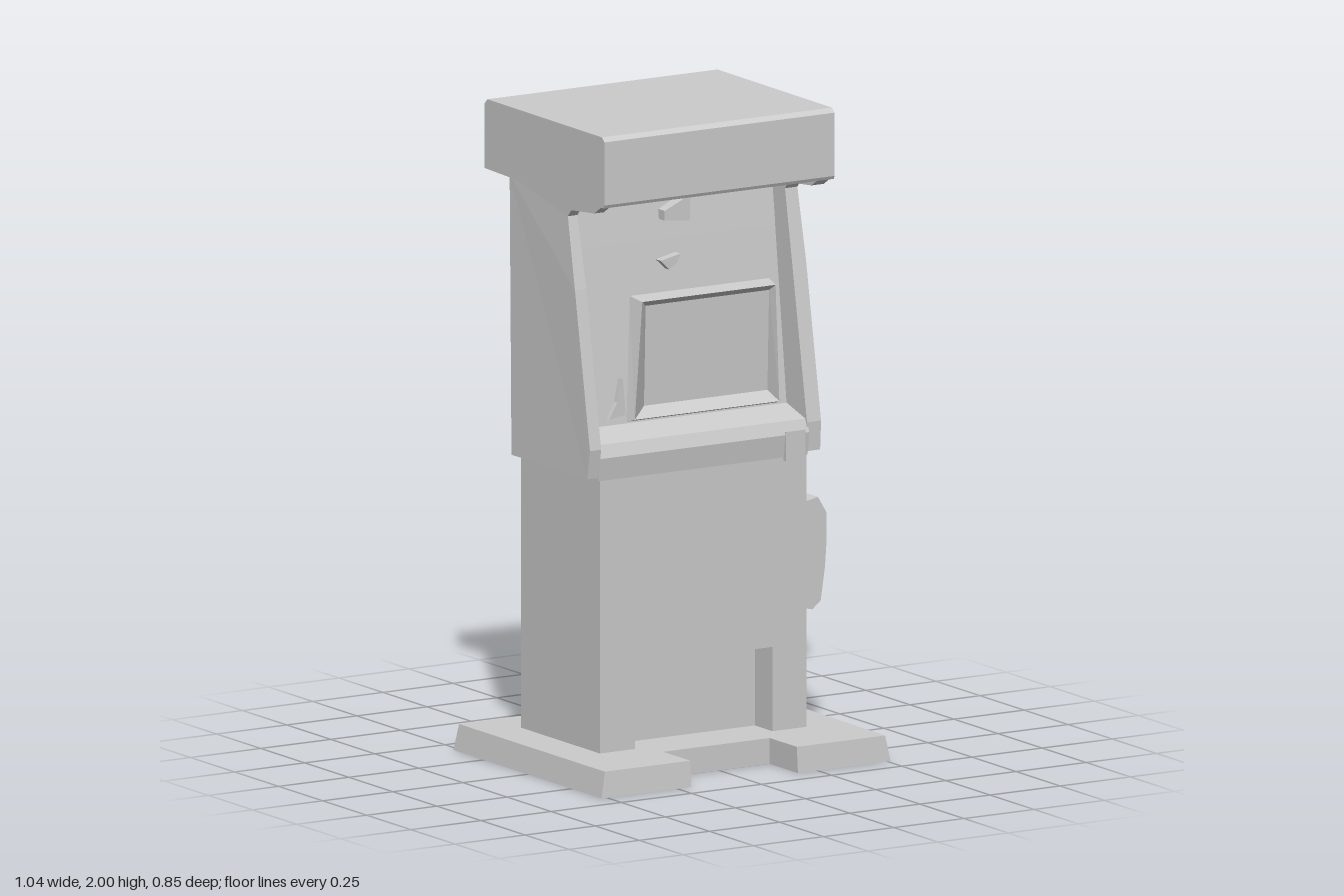
import * as THREE from 'three';

const mat = new THREE.MeshStandardMaterial({ color: 0xcccccc, flatShading: true, side: THREE.DoubleSide });

const shapeOf = pts => new THREE.Shape(pts.map(p => new THREE.Vector2(p[0], p[1])));
const extrude = (shape, depth, steps = 1) =>
  new THREE.ExtrudeGeometry(shape, { depth, steps, bevelEnabled: false });

// Side profile given as [z, y], extruded from x0 to x1
function extrudeX(pts, x0, x1, steps) {
  return extrude(shapeOf(pts), x1 - x0, steps).rotateY(-Math.PI / 2).translate(x1, 0, 0);
}

// Moves every vertex by a rule
function warp(geo, rule) {
  const p = geo.attributes.position, v = new THREE.Vector3();
  for (let i = 0; i < p.count; i++) {
    rule(v.fromBufferAttribute(p, i));
    p.setXYZ(i, v.x, v.y, v.z);
  }
  geo.computeVertexNormals();
  return geo;
}

// Band of quads joining closed loops of equal length
function loft(...loops) {
  const n = loops[0].length, idx = [];
  for (let k = 0; k < loops.length - 1; k++) {
    for (let i = 0; i < n; i++) {
      const a = k * n + i, b = k * n + (i + 1) % n;
      idx.push(a, b, b + n, a, b + n, a + n);
    }
  }
  const geo = new THREE.BufferGeometry();
  geo.setAttribute('position', new THREE.Float32BufferAttribute(loops.flat(2), 3));
  geo.setIndex(idx);
  geo.computeVertexNormals();
  return geo;
}

// The back is upright on the right flank and leans out to the hood on the left
function twistBack(v) {
  if (v.y > 1.7 && v.z < -0.3) {
    v.z = THREE.MathUtils.mapLinear(THREE.MathUtils.clamp(v.x, -0.38, 0.365), -0.38, 0.365, -0.27, -0.41);
  }
}

export function createModel() {
  const model = new THREE.Group();
  model.name = 'arcadeCabinet';
  const add = (name, geo) => {
    const m = new THREE.Mesh(geo, mat);
    m.name = name;
    model.add(m);
  };
  const box = (name, x0, x1, y0, y1, z0, z1) => add(name,
    new THREE.BoxGeometry(x1 - x0, y1 - y0, z1 - z0)
      .translate((x0 + x1) / 2, (y0 + y1) / 2, (z0 + z1) / 2));

  // Floor plate with a front notch and sloping edges
  const plate = extrude(shapeOf([
    [-0.52, 0.42], [-0.52, -0.42], [-0.2, -0.42], [-0.2, -0.26],
    [0.18, -0.26], [0.18, -0.42], [0.51, -0.42], [0.52, 0.43],
  ]), 0.08).rotateX(-Math.PI / 2);
  add('basePlate', warp(plate, v => {
    if (v.y > 0.04 && Math.abs(v.x) > 0.3) v.x *= 0.97;
    if (v.y > 0.04 && Math.abs(v.z) > 0.3) v.z *= 0.985;
  }));

  // Lower cabinet with the recess at the foot of its front
  box('lowerBody', -0.375, 0.362, 0.07, 0.95, -0.268, 0.08);
  add('lowerFront', extrude(shapeOf([
    [-0.375, 0.07], [-0.25, 0.07], [-0.25, 0.34], [0.24, 0.34],
    [0.24, 0.07], [0.362, 0.07], [0.362, 0.93], [-0.375, 0.93],
  ]), 0.1).translate(0, 0, 0.08));

  // Upper core: control shelf, cavity behind the screen and brow
  add('upperCore', warp(extrudeX([
    [0.18, 0.92], [0.19, 0.99], [0.175, 1.03], [0.07, 1.06], [-0.05, 1.06], [-0.05, 1.59],
    [0.005, 1.6], [-0.02, 1.79], [-0.41, 1.79], [-0.27, 0.92],
  ], -0.38, 0.365, 12), twistBack));

  // Side panels with the throat under the hood
  for (const [name, x0, x1, f] of [['rightPanel', -0.42, -0.38, 0.01], ['leftPanel', 0.36, 0.41, 0]]) {
    add(name, warp(extrudeX([
      [0.18, 0.93], [0.185 + f, 1.02], [0.1 + f, 1.5], [0.06, 1.72], [0.08, 1.742], [0.21, 1.755],
      [0.265, 1.79], [-0.41, 1.79], [-0.25, 0.93],
    ], x0, x1), v => {
      twistBack(v);
      if (v.y > 1.7 && Math.abs(v.x) > 0.4) v.x -= Math.sign(v.x) * 0.006;
    }));
  }

  // Overhanging hood in one piece across the full width
  add('hood', extrudeX([
    [0.265, 1.78], [0.27, 1.79], [0.27, 1.985], [0.255, 1.998],
    [-0.395, 2], [-0.41, 1.985], [-0.41, 1.785], [-0.2, 1.78],
  ], -0.415, 0.405));

  // Leaning front panel with a window
  const lean = y => 0.07 - (y - 1.05) * 0.12;
  const grow = (pts, d) => pts.map(([x, y]) => [x + Math.sign(x) * d, y + Math.sign(y - 1.25) * d]);
  const rim = [[-0.2, 1.075], [0.315, 1.075], [0.315, 1.43], [-0.16, 1.43]];
  const inner = [[-0.13, 1.1], [0.31, 1.1], [0.31, 1.41], [-0.13, 1.41]];
  const face = shapeOf([[-0.38, 1.04], [0.365, 1.04], [0.365, 1.605], [-0.38, 1.605]]);
  face.holes.push(new THREE.Path(rim.map(p => new THREE.Vector2(...p))));
  add('screenPanel', warp(extrude(face, 0.02), v => { v.z += lean(v.y) - 0.02; }));

  // Raised rim around the sunken screen
  const rimZ = y => 0.1 - (y - 1.07) * 0.06;
  const screenZ = y => 0.04 + (y - 1.1) * 0.03;
  add('screenBezel', loft(
    grow(rim, 0.01).map(([x, y]) => [x, y, lean(y)]),
    rim.map(([x, y]) => [x, y, rimZ(y)]),
    inner.map(([x, y]) => [x, y, screenZ(y)])));
  add('screen', warp(new THREE.ShapeGeometry(shapeOf(inner)), v => { v.z = screenZ(v.y); }));

  // Small fittings on the front
  const wedge = (name, pts, z, d) => add(name, extrude(shapeOf(pts), d).translate(0, 0, z));
  wedge('browLamp', [[-0.05, 1.66], [0.04, 1.65], [0.04, 1.73], [-0.05, 1.69]], -0.02, 0.05);
  wedge('smallHook', [[-0.07, 1.54], [0, 1.555], [-0.01, 1.53], [-0.04, 1.51]], 0, 0.04);
  wedge('cornerLever', [[-0.28, 1.08], [-0.22, 1.09], [-0.23, 1.2], [-0.25, 1.13]], 0.05, 0.03);
  box('controlLip', 0.28, 0.35, 0.91, 1.0, 0.17, 0.192);

  // Holster box on the flank
  add('sideBox', extrude(shapeOf([
    [0.35, 0.42], [0.37, 0.43], [0.47, 0.405], [0.5, 0.43], [0.515, 0.53],
    [0.52, 0.6], [0.52, 0.7], [0.49, 0.75], [0.4, 0.73], [0.35, 0.7],
  ]), 0.24).translate(0, 0, -0.2));

  // Angular strap hooked round the back edge and running down to the side box
  const path = [
    [0.33, 1.52, -0.345], [0.415, 1.5, -0.345], [0.42, 1.22, -0.32], [0.43, 1.07, -0.342],
    [0.425, 0.68, -0.325], [0.43, 0.66, -0.19],
  ].map(p => new THREE.Vector3(...p));
  for (let i = 0; i < path.length - 1; i++) {
    add('strapSegment', new THREE.TubeGeometry(new THREE.LineCurve3(path[i], path[i + 1]), 1, 0.022, 4, false));
  }

  return model;
}
